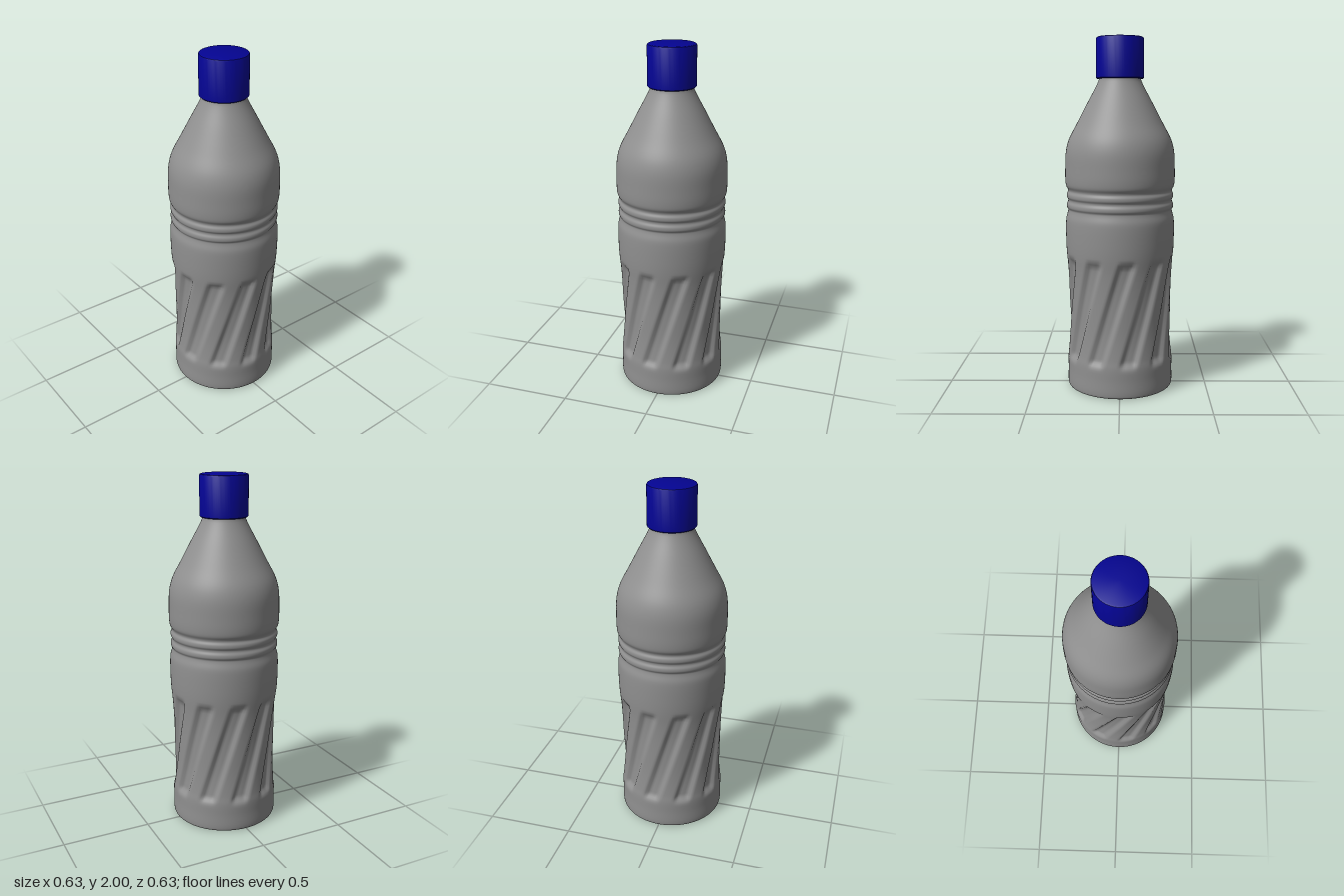
import * as THREE from 'three';
import { mergeVertices, toCreasedNormals } from 'three/addons/utils/BufferGeometryUtils.js';

const SEGMENTS = 160;
const FLUTES = 10;
const FLUTE_BOTTOM = 0.16, FLUTE_TOP = 0.78;
const FLUTE_DEPTH = 0.02;
const TWIST = THREE.MathUtils.degToRad(38);
const START = THREE.MathUtils.degToRad(-10.5);
const { smoothstep, clamp } = THREE.MathUtils;

// Outline [radius, height] from the foot to the neck
const OUTLINE = [
  [0.284, 0], [0.298, 0.004], [0.303, 0.016], [0.303, 0.1], [0.303, 0.17],
  [0.298, 0.22], [0.292, 0.34], [0.292, 0.48], [0.294, 0.6], [0.299, 0.7],
  [0.307, 0.79], [0.31, 0.86], [0.31, 0.96], [0.307, 0.99], [0.298, 1.024],
  [0.297, 1.036], [0.304, 1.05], [0.304, 1.067], [0.297, 1.083], [0.297, 1.093],
  [0.304, 1.107], [0.304, 1.124], [0.297, 1.14], [0.298, 1.15], [0.308, 1.17],
  [0.312, 1.2], [0.312, 1.27], [0.309, 1.35], [0.3, 1.4], [0.284, 1.445],
  [0.242, 1.524], [0.183, 1.637], [0.124, 1.75], [0.117, 1.775], [0.117, 1.8],
];

function bodyGeometry() {
  const curve = new THREE.CatmullRomCurve3(
    OUTLINE.map(([r, y]) => new THREE.Vector3(r, y, 0)), false, 'centripetal');
  const profile = curve.getPoints((OUTLINE.length - 1) * 5).map((p) => new THREE.Vector2(p.x, p.y));
  let geo = new THREE.LatheGeometry(profile, SEGMENTS);
  const pos = geo.attributes.position;
  const pitch = (Math.PI * 2) / FLUTES;

  // Press slanted flutes into the lower body, twisting the mesh along them
  for (let i = 0; i < pos.count; i++) {
    const x = pos.getX(i), y = pos.getY(i), z = pos.getZ(i);
    const angle = Math.atan2(x, z);
    const offset = Math.abs(angle - Math.round(angle / pitch) * pitch);
    const across = 1 - smoothstep(offset, 0.085, 0.19);
    const along = smoothstep(y, FLUTE_BOTTOM, FLUTE_BOTTOM + 0.05)
      * (1 - smoothstep(y, FLUTE_TOP - 0.05, FLUTE_TOP));
    const r = Math.hypot(x, z) - FLUTE_DEPTH * across * along;
    const t = clamp((y - FLUTE_BOTTOM) / (FLUTE_TOP - FLUTE_BOTTOM), 0, 1);
    const turned = angle + START + TWIST * t;
    pos.setXYZ(i, r * Math.sin(turned), y, r * Math.cos(turned));
  }
  // Weld the seam for continuous smooth shading
  geo.deleteAttribute('uv');
  geo.deleteAttribute('normal');
  geo = mergeVertices(geo, 1e-5);
  geo.computeVertexNormals();
  return geo;
}

function capGeometry() {
  const profile = [
    [0.1, 1.77], [0.129, 1.77], [0.134, 1.775], [0.134, 1.99],
    [0.131, 1.997], [0.124, 2], [0, 2],
  ].map(([r, y]) => new THREE.Vector2(r, y));
  return toCreasedNormals(new THREE.LatheGeometry(profile, 64), 0.6);
}

export function createModel() {
  const bottle = new THREE.Group();
  bottle.name = 'bottle';
  const grey = new THREE.MeshStandardMaterial({ color: 0x909090, side: THREE.DoubleSide });
  const blue = new THREE.MeshStandardMaterial({ color: 0x040492 });

  const add = (name, geometry, material) => {
    const mesh = new THREE.Mesh(geometry, material);
    mesh.name = name;
    bottle.add(mesh);
  };

  add('body', bodyGeometry(), grey);
  // Flat underside
  add('base', new THREE.CircleGeometry(0.284, SEGMENTS).rotateX(Math.PI / 2), grey);
  add('cap', capGeometry(), blue);
  return bottle;
}
